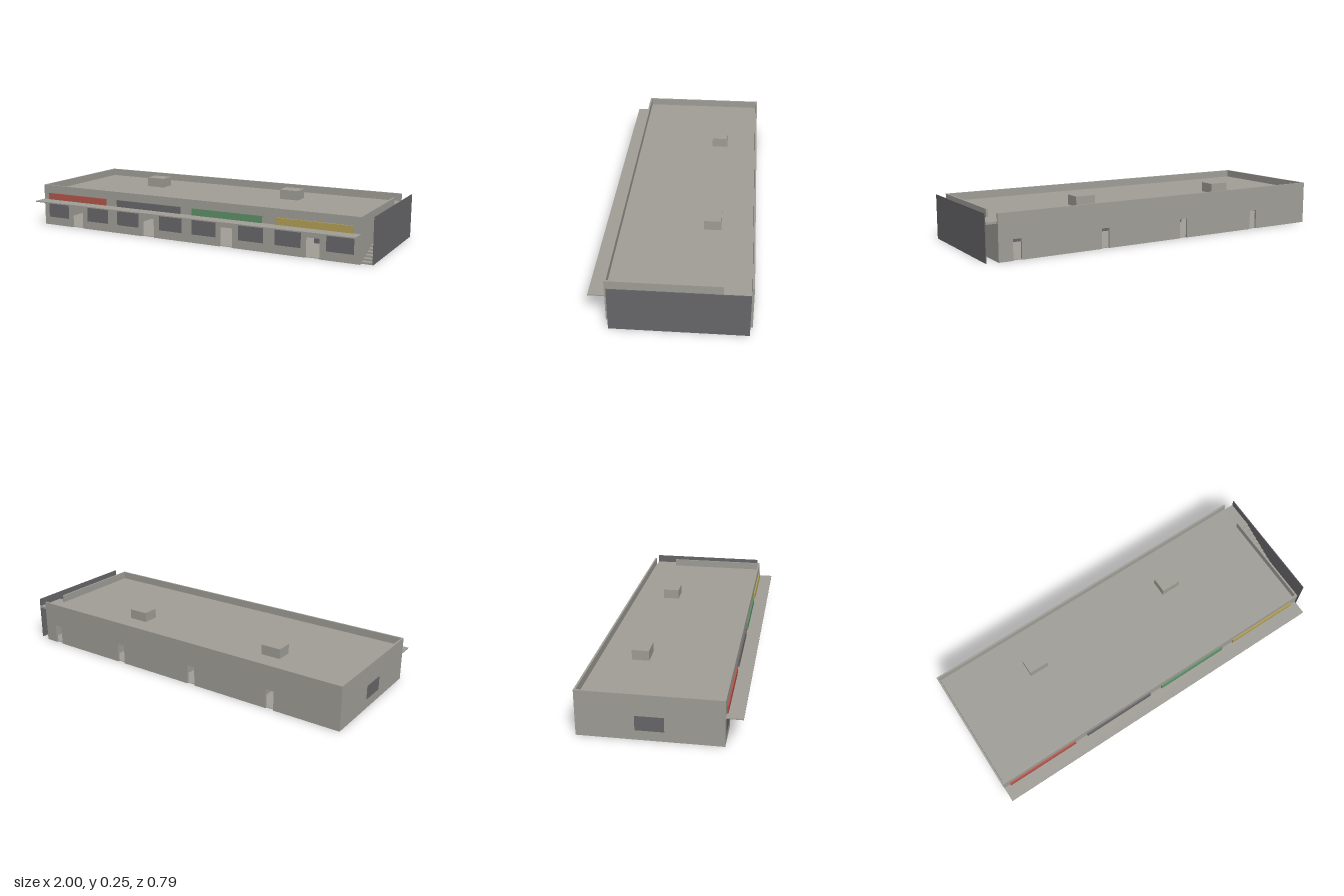
import * as THREE from 'three';

const mat = (name, color) => {
  const m = new THREE.MeshStandardMaterial({ color });
  m.name = name;
  return m;
};

export function createModel() {
  const group = new THREE.Group();
  const concrete = mat('concrete grey', 0xa19f98);
  const dark = mat('dark grey', 0x68686b);
  const red = mat('sign red', 0xb3564c);
  const green = mat('sign green', 0x5d9169);
  const yellow = mat('sign yellow', 0xb3a055);

  // Box given by its minimum and maximum on each axis
  const box = (name, material, x0, x1, y0, y1, z0, z1) => {
    const mesh = new THREE.Mesh(new THREE.BoxGeometry(x1 - x0, y1 - y0, z1 - z0), material);
    mesh.position.set((x0 + x1) / 2, (y0 + y1) / 2, (z0 + z1) / 2);
    mesh.name = name;
    group.add(mesh);
    return mesh;
  };

  const L = -1, R = 0.94, back = -0.393, front = 0.312, top = 0.236, roof = 0.195;
  const t = 0.01, unit = 0.485, doorH = 0.105;

  // Long wall with doorways cut up from the ground
  const longWall = (name, z, doorCentres, doorW) => {
    const s = new THREE.Shape();
    s.moveTo(L, 0);
    for (const c of doorCentres) {
      s.lineTo(c - doorW / 2, 0);
      s.lineTo(c - doorW / 2, doorH);
      s.lineTo(c + doorW / 2, doorH);
      s.lineTo(c + doorW / 2, 0);
    }
    s.lineTo(R, 0);
    s.lineTo(R, top);
    s.lineTo(L, top);
    const mesh = new THREE.Mesh(new THREE.ExtrudeGeometry(s, { depth: t, bevelEnabled: false }), concrete);
    mesh.position.z = z;
    mesh.name = name;
    group.add(mesh);
  };
  const units = [0, 1, 2, 3];
  longWall('frontWall', front - t, units.map(i => -0.762 + i * unit), 0.075);
  longWall('backWall', back, units.map(i => -0.612 + i * unit), 0.045);

  // End walls; the stair side has a parapet gap at the landing
  box('endWallRight', concrete, L, L + t, 0, top, back + t, front - t);
  box('endWallLeft', concrete, R - t, R, 0, roof, back + t, front - t);
  box('stairSideParapet', concrete, R - t, R, roof, top, -0.25, front - t);

  // Floor, roof and canopy
  box('floor', concrete, L + t, R - t, 0, 0.003, back + t, front - t);
  box('roof', concrete, L + t, R - t, roof - 0.01, roof, back + t, front - t);
  box('canopy', concrete, L, R, 0.146, 0.152, front, 0.393);

  // Shop units: windows, sign, counter and dividing walls
  const signs = [red, dark, green, yellow];
  for (const i of units) {
    const x = -0.968 + i * unit;
    for (const dx of [0, 0.278]) {
      box('shopWindow', dark, x + dx, x + dx + 0.143, 0.046, 0.135, front - 0.002, front + 0.001);
    }
    box('shopSign', signs[i], x + 0.005, x + 0.415, 0.153, 0.19, front, front + 0.008);
    box('shopCounter', dark, x + 0.1, x + 0.32, 0.003, 0.067, -0.02, 0.02);
    if (i > 0) box('dividingWall', concrete, x - 0.037, x - 0.029, 0.003, roof - 0.01, back + t, front - t);
  }

  // Window in the plain end wall
  box('endWindow', dark, L - 0.0005, L + 0.002, 0.05, 0.125, -0.11, 0.03);

  // Rooftop vents
  for (const x of [-0.56, 0.32]) box('roofVent', concrete, x, x + 0.11, roof, 0.248, -0.217, -0.128);

  // Outside stair climbing toward the back, landing and screen panel
  const steps = 19, run = 0.54 / steps, rise = roof / steps;
  for (let i = 0; i < steps; i++) {
    const z = 0.29 - i * run;
    box('stairStep', concrete, R, 0.996, i * rise, (i + 1) * rise, z - run, z);
  }
  box('stairLanding', concrete, R, 0.996, roof - rise, roof, -0.38, -0.25);
  box('stairScreen', dark, 0.996, 1, 0, 0.239, -0.38, 0.292);

  return group;
}
